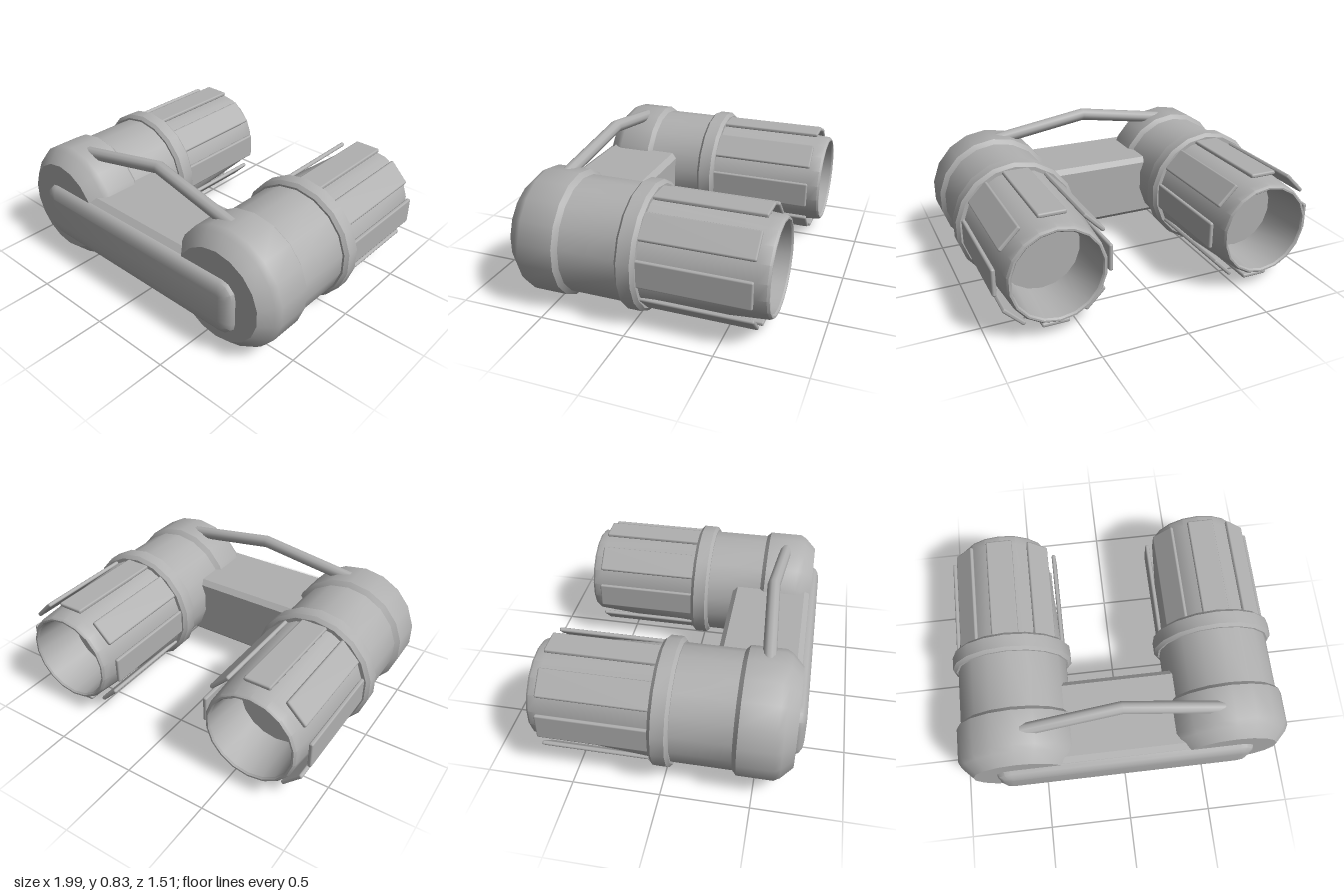
import * as THREE from 'three';
import { toCreasedNormals } from 'three/addons/utils/BufferGeometryUtils.js';
import { RoundedBoxGeometry } from 'three/addons/geometries/RoundedBoxGeometry.js';

const CAN_X = 0.632, CAN_Y = 0.372;

export function createModel() {
  const grey = new THREE.MeshStandardMaterial({ color: 0xb0b0b0 });
  grey.name = 'grey metal';
  const model = new THREE.Group();
  model.name = 'twinCanister';

  const add = (parent, name, geometry) => {
    const mesh = new THREE.Mesh(geometry, grey);
    mesh.name = name;
    parent.add(mesh);
    return mesh;
  };

  // Turned can, profile as [radius, z] from the bore floor to the front cap
  const profile = [
    [0, -0.45], [0.235, -0.45], [0.25, -0.745], [0.258, -0.755],
    [0.268, -0.755], [0.278, -0.742], [0.282, -0.69], [0.328, -0.065],
    [0.35, -0.065], [0.37, -0.045], [0.37, 0.03], [0.35, 0.048],
    [0.338, 0.048], [0.338, 0.385], [0.364, 0.41], [0.364, 0.61],
    [0.345, 0.645], [0.28, 0.71], [0, 0.71],
  ].map(([r, z]) => new THREE.Vector2(r, z));
  const canGeometry = toCreasedNormals(
    new THREE.LatheGeometry(profile, 18).rotateX(Math.PI / 2), 0.6);

  // Straight fin plates standing around the tapered barrel
  const finGeometry = new RoundedBoxGeometry(0.16, 0.025, 0.635, 1, 0.01);

  for (const side of [-1, 1]) {
    const can = new THREE.Group();
    can.name = side > 0 ? 'leftCan' : 'rightCan';
    can.position.set(side * CAN_X, CAN_Y, 0);
    add(can, 'canBody', canGeometry);
    for (let i = 0; i < 8; i++) {
      const a = i * Math.PI / 4;
      const fin = add(can, 'fin', finGeometry);
      fin.position.set(-Math.sin(a) * 0.322, Math.cos(a) * 0.322, -0.37);
      fin.rotation.z = a;
    }
    model.add(can);
  }

  // Chamfered bridge between the cans, section drawn in z and y
  const section = new THREE.Shape([
    [0.21, 0.16], [0.24, 0.13], [0.67, 0.13], [0.705, 0.16],
    [0.705, 0.5], [0.67, 0.53], [0.24, 0.53], [0.21, 0.5],
  ].map(([z, y]) => new THREE.Vector2(z, y)));
  add(model, 'bridge', new THREE.ExtrudeGeometry(section, { depth: 1.2, bevelEnabled: false })
    .translate(0, 0, -0.6).rotateY(-Math.PI / 2));

  // Softly domed front plate
  const w = 0.69, h = 0.09, r = 0.02;
  const plate = new THREE.Shape();
  plate.moveTo(-w + r, -h).lineTo(w - r, -h).quadraticCurveTo(w, -h, w, -h + r)
    .lineTo(w, h - r).quadraticCurveTo(w, h, w - r, h)
    .lineTo(-w + r, h).quadraticCurveTo(-w, h, -w, h - r)
    .lineTo(-w, -h + r).quadraticCurveTo(-w, -h, -w + r, -h);
  const plateGeometry = new THREE.ExtrudeGeometry(plate, {
    depth: 0.01, bevelThickness: 0.05, bevelSize: 0.08, bevelSegments: 3, curveSegments: 3,
  });
  add(model, 'frontPlate', toCreasedNormals(plateGeometry, 0.7))
    .position.set(0, 0.332, 0.695);

  // Bent rod joining the two caps
  const path = new THREE.CatmullRomCurve3([
    new THREE.Vector3(-0.62, 0.685, 0.525),
    new THREE.Vector3(0, 0.797, 0.487),
    new THREE.Vector3(0.62, 0.685, 0.525),
  ]);
  add(model, 'rod', new THREE.TubeGeometry(path, 2, 0.038, 10));

  return model;
}
